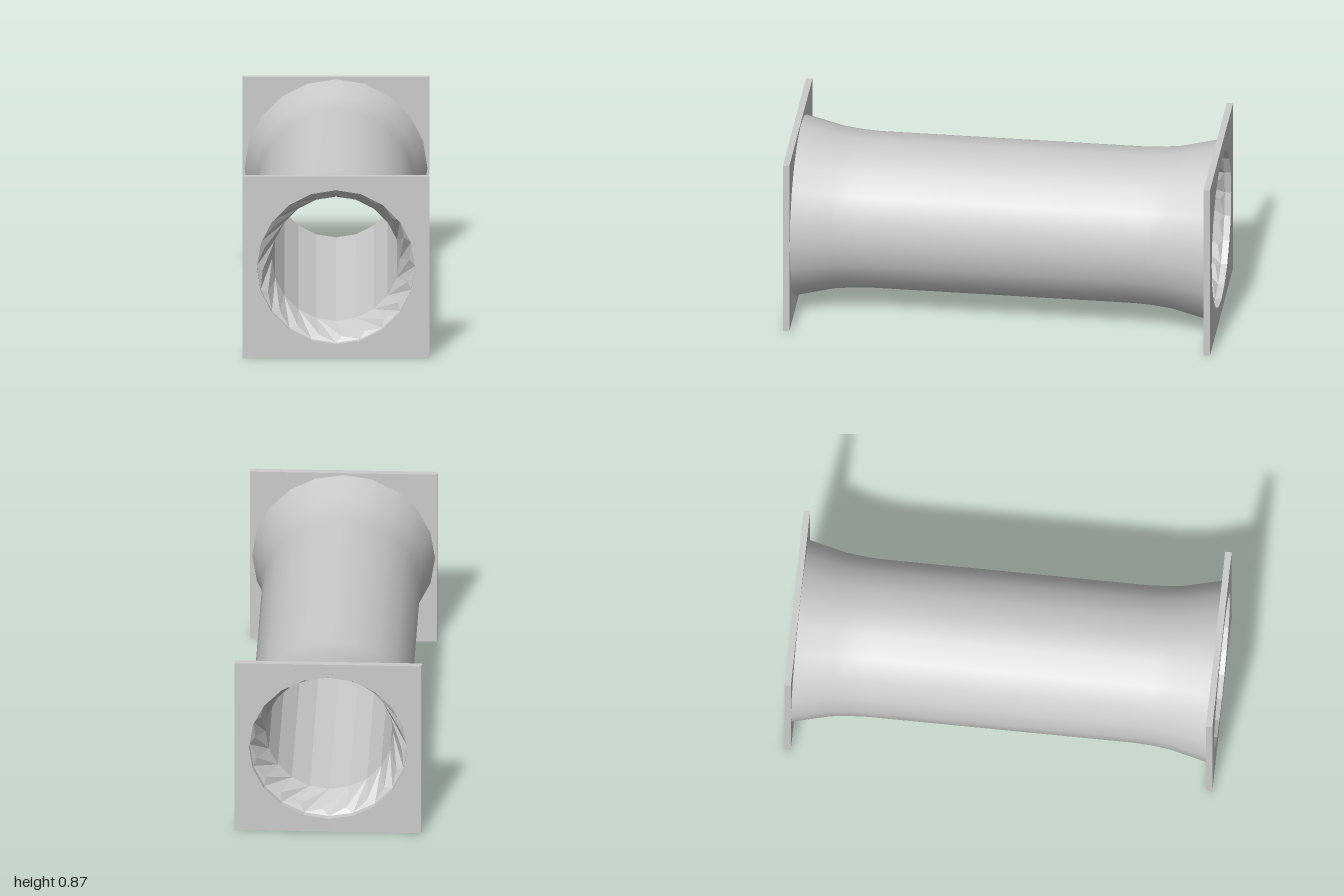
import * as THREE from 'three';

const SIDES = 20, HALF = 0.435, RIM = 0.368, BORE = 0.297;
const PLATE_IN = 0.97, THROAT = 0.83;
const STEP = (Math.PI * 2) / SIDES;

const smooth = new THREE.MeshStandardMaterial({ color: 0xcccccc, side: THREE.DoubleSide });
const flat = new THREE.MeshStandardMaterial({ color: 0xcccccc, side: THREE.DoubleSide, flatShading: true });

function add(parent, name, geometry, material) {
  const mesh = new THREE.Mesh(geometry, material);
  mesh.name = name;
  parent.add(mesh);
  return mesh;
}

const ring = (r, turn, z) => [r * Math.cos(turn * STEP), r * Math.sin(turn * STEP), z];

// Square plate with a round, faceted opening
function flangeGeometry() {
  const shape = new THREE.Shape();
  shape.moveTo(-HALF, -HALF).lineTo(HALF, -HALF).lineTo(HALF, HALF).lineTo(-HALF, HALF).closePath();
  const hole = [];
  for (let i = 0; i < SIDES; i++) {
    const [x, y] = ring(RIM, -i, 0);
    hole.push(new THREE.Vector2(x, y));
  }
  shape.holes.push(new THREE.Path(hole));
  return new THREE.ExtrudeGeometry(shape, { depth: 1 - PLATE_IN, bevelEnabled: false });
}

// Twisted saw-tooth funnel from the rim of a plate down to the bore
function funnelGeometry(end) {
  const pos = [];
  const tri = (a, b, c) => {
    for (const p of end > 0 ? [a, b, c] : [a, c, b]) pos.push(p[0], p[1], p[2] * end);
  };
  for (let i = 0; i < SIDES; i++) {
    const outer = ring(RIM, i, PLATE_IN);
    const outerNext = ring(RIM, i + 1, PLATE_IN);
    const tooth = ring(0.342, i + 0.25, 0.95);
    const inner = ring(BORE, i, THROAT);
    const innerPrev = ring(BORE, i - 1, THROAT);
    tri(outer, outerNext, tooth);
    tri(outer, tooth, innerPrev);
    tri(tooth, outerNext, inner);
    tri(tooth, inner, innerPrev);
  }
  const geometry = new THREE.BufferGeometry();
  geometry.setAttribute('position', new THREE.Float32BufferAttribute(pos, 3));
  geometry.computeVertexNormals();
  return geometry;
}

export function createModel() {
  const group = new THREE.Group();
  group.name = 'flangedTube';
  const body = new THREE.Group();
  body.name = 'tubeBody';
  body.position.y = HALF;
  group.add(body);

  // Outer shell, flaring out to meet each plate
  const half = [[0.368, 0.62], [0.372, 0.7], [0.382, 0.79], [0.425, PLATE_IN]];
  const profile = [
    ...half.map(([r, z]) => new THREE.Vector2(r, -z)).reverse(),
    ...half.map(([r, z]) => new THREE.Vector2(r, z)),
  ];
  add(body, 'outerShell', new THREE.LatheGeometry(profile, SIDES).rotateX(Math.PI / 2), smooth);

  // Faceted inner bore
  const bore = new THREE.CylinderGeometry(BORE, BORE, THROAT * 2, SIDES, 1, true).rotateX(Math.PI / 2);
  add(body, 'innerBore', bore, flat);

  // Plates and funnels, mirrored front to back
  for (const [label, end] of [['front', 1], ['back', -1]]) {
    const plate = add(body, label + 'Plate', flangeGeometry(), flat);
    plate.position.z = end > 0 ? PLATE_IN : -1;
    add(body, label + 'Funnel', funnelGeometry(end), flat);
  }
  return group;
}
